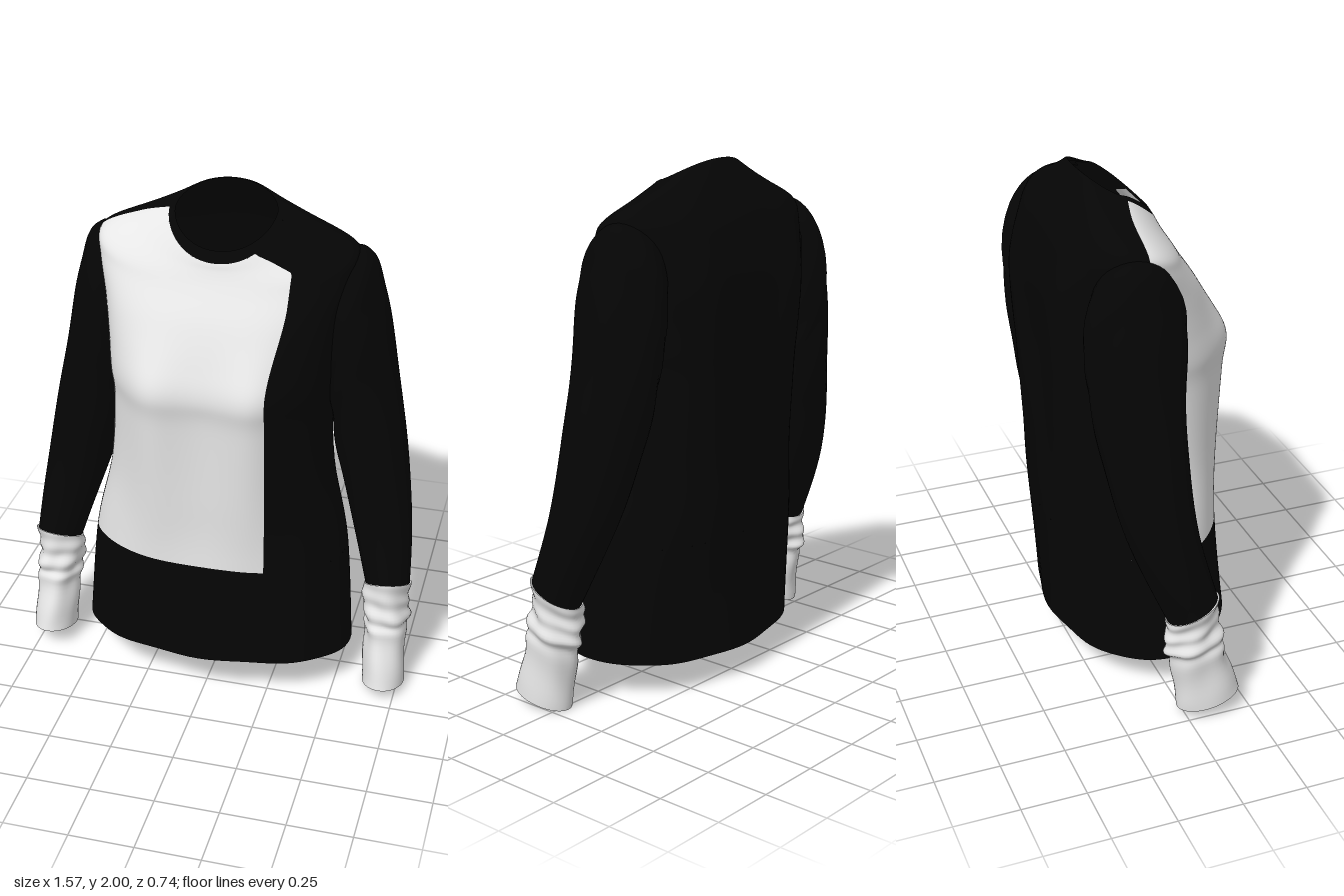
import * as THREE from 'three';
import { mergeVertices } from 'three/addons/utils/BufferGeometryUtils.js';

const black = new THREE.MeshStandardMaterial({ color: 0x050505, side: THREE.DoubleSide });
black.name = 'black knit';
const white = new THREE.MeshStandardMaterial({ color: 0xe6e6e6, side: THREE.DoubleSide });
white.name = 'off white cloth';

// Torso rows, hem to neck: half width, front z, back z, side z, front y, back y, side y
const TORSO = [
  [0.545, 0.375, -0.31, 0.03, 0.20, 0.12, 0.15],
  [0.508, 0.325, -0.335, 0.01, 0.60, 0.60, 0.58],
  [0.437, 0.318, -0.34, -0.01, 0.90, 0.90, 0.90],
  [0.415, 0.318, -0.34, -0.03, 1.20, 1.20, 1.20],
  [0.425, 0.328, -0.34, -0.04, 1.33, 1.33, 1.33],
  [0.435, 0.29, -0.342, -0.05, 1.45, 1.45, 1.45],
  [0.455, 0.23, -0.345, -0.065, 1.58, 1.60, 1.60],
  [0.49, 0.165, -0.325, -0.085, 1.68, 1.72, 1.74],
  [0.48, 0.14, -0.30, -0.09, 1.72, 1.80, 1.82],
  [0.33, 0.122, -0.245, -0.085, 1.755, 1.91, 1.885],
  [0.215, 0.112, -0.195, -0.06, 1.782, 1.993, 1.92],
  [0.19, 0.088, -0.184, -0.055, 1.822, 2.0, 1.928],
];
const PANEL_LOW = 1, PANEL_HIGH = 10, NECK = 11;

// Sleeve rows, shoulder to wrist: outer x, y, inner x, y, centre z, half depth, tilt
const SLEEVE = [
  [0.42, 1.80, 0.37, 1.40, -0.115, 0.15, 0],
  [0.51, 1.80, 0.39, 1.30, -0.12, 0.185, 0],
  [0.563, 1.72, 0.40, 1.21, -0.12, 0.19, 0],
  [0.607, 1.55, 0.41, 1.12, -0.12, 0.18, 0],
  [0.68, 1.18, 0.435, 0.96, -0.11, 0.155, 0],
  [0.748, 0.75, 0.51, 0.72, -0.06, 0.13, 0.01],
  [0.77, 0.46, 0.595, 0.44, 0.03, 0.095, 0.045],
];
const CUFF = [
  [0.778, 0.465, 0.59, 0.44, 0.03, 0.10, 0.045],
  [0.765, 0.39, 0.585, 0.38, 0.03, 0.098, 0.03],
  [0.775, 0.31, 0.60, 0.30, 0.035, 0.11, 0.02],
  [0.77, 0.23, 0.605, 0.22, 0.055, 0.105, 0.02],
  [0.78, 0.028, 0.612, 0.026, 0.095, 0.124, 0.026],
];

// Smooth interpolation of a row table
function rowAt(rows, v) {
  const n = rows.length - 1;
  const i = Math.min(Math.floor(v), n - 1), t = v - i;
  const at = k => rows[Math.max(0, Math.min(n, k))];
  return rows[0].map((_, c) => {
    const p0 = at(i - 1)[c], p1 = at(i)[c], p2 = at(i + 1)[c], p3 = at(i + 2)[c];
    return p1 + 0.5 * t * (p2 - p0 + t * (2 * p0 - 5 * p1 + 4 * p2 - p3 + t * (3 * (p1 - p2) + p3 - p0)));
  });
}

// Grid surface over (v, u), both 0..1, welded so closed rings shade smoothly
function patch(name, material, fn, nv, nu) {
  const pos = [], index = [];
  for (let i = 0; i <= nv; i++)
    for (let j = 0; j <= nu; j++) pos.push(...fn(i / nv, j / nu));
  for (let i = 0; i < nv; i++)
    for (let j = 0; j < nu; j++) {
      const a = i * (nu + 1) + j, b = a + nu + 1;
      index.push(a, b, a + 1, a + 1, b, b + 1);
    }
  let g = new THREE.BufferGeometry();
  g.setAttribute('position', new THREE.Float32BufferAttribute(pos, 3));
  g.setIndex(index);
  g = mergeVertices(g, 1e-5);
  g.computeVertexNormals();
  const mesh = new THREE.Mesh(g, material);
  mesh.name = name;
  return mesh;
}

const power = (x, e) => Math.sign(x) * Math.pow(Math.abs(x), e);
const bell = (x, width) => Math.exp(-((x / width) ** 2));

// The cross-section is elliptical at hem and neck, squarer across the chest
const squareness = y => 1 - 0.25 * bell(y - 1.55, y > 1.55 ? 0.27 : 0.9);

// Point on the torso; angle 0 is the left side, a quarter turn is the front
function torsoPoint(v, angle) {
  const [w, zf, zb, zs, yf, yb, ys] = rowAt(TORSO, v);
  const e = squareness(ys), c = Math.cos(angle), s = Math.sin(angle), front = s > 0;
  const x = w * power(c, e);
  let z = zs + (front ? zf - zs : zs - zb) * power(s, e);
  // bust in front, shoulder blades and their drape behind
  if (front) z += 0.048 * bell(yf - 1.33, yf > 1.33 ? 0.16 : 0.6) * s * bell(Math.abs(x) - 0.21, 0.12);
  else z += 0.05 * bell(yb - 1.45, yb > 1.45 ? 0.25 : 0.7) * s * bell(Math.abs(x) - 0.28, 0.12);
  // soft vertical drape near the hem
  z += 0.006 * Math.sin(angle * 9) * Math.max(0, 1 - v / 1.5) * Math.abs(s);
  return [x, ys + ((front ? yf : yb) - ys) * Math.pow(Math.abs(s), 1.25), z];
}

// Angles where the front panel starts and ends in a row
function panelEdges(v) {
  const row = rowAt(TORSO, v), w = row[0], y = row[6], e = squareness(y);
  const leftX = Math.min(0.24 + 0.04 * THREE.MathUtils.smoothstep(y, 1.35, 1.7), 0.65 * w);
  const rightShare = 0.97 + 0.029 * THREE.MathUtils.smoothstep(y, 0.6, 1.8);
  const angleOf = share => Math.acos(Math.pow(share, 1 / e));
  return [angleOf(leftX / w), Math.PI - angleOf(rightShare)];
}

function sleevePart(name, material, rows, side, lift, wrinkle) {
  const n = rows.length - 1;
  return patch(name, material, (t, u) => {
    const [ox, oy, ix, iy, zc, rz, tilt] = rowAt(rows, t * n);
    const a = -u * Math.PI * 2 * side;
    const k = 1 + wrinkle * Math.sin(Math.PI * t) * Math.sin(3 * a + 17 * t) * Math.cos(2 * a - 11 * t);
    const c = Math.cos(a) * k, s = Math.sin(a) * k;
    const x = (ox + ix) / 2 + (ox - ix) / 2 * c;
    const y = (oy + iy) / 2 + (oy - iy) / 2 * c + tilt * s;
    return [side * x, y + lift * Math.max(0, 1 - y), zc + rz * s];
  }, n * 8, 40);
}

export function createModel() {
  const group = new THREE.Group();
  group.name = 'sweater';
  const turn = Math.PI * 2;
  const span = (t, from, to) => from + t * (to - from);

  // Lower body and neckband are full rings
  group.add(patch('lowerBody', black,
    (t, u) => torsoPoint(span(t, 0, PANEL_LOW), u * turn), 12, 96));
  group.add(patch('neckband', black,
    (t, u) => torsoPoint(span(t, PANEL_HIGH, NECK), u * turn), 4, 96));

  // Pale panel on the front, and the black body around it
  group.add(patch('frontPanel', white, (t, u) => {
    const v = span(t, PANEL_LOW, PANEL_HIGH), [l, r] = panelEdges(v);
    return torsoPoint(v, span(u, l, r));
  }, 63, 48));
  group.add(patch('upperBody', black, (t, u) => {
    const v = span(t, PANEL_LOW, PANEL_HIGH), [l, r] = panelEdges(v);
    return torsoPoint(v, span(u, r, l + turn));
  }, 63, 72));

  // Sleeves with crumpled cuffs, the right one hanging slightly higher
  for (const [side, label] of [[1, 'left'], [-1, 'right']]) {
    const lift = side < 0 ? 0.035 : 0;
    group.add(sleevePart(label + 'Sleeve', black, SLEEVE, side, lift, 0.03));
    group.add(sleevePart(label + 'Cuff', white, CUFF, side, lift, 0.12));
  }
  return group;
}
